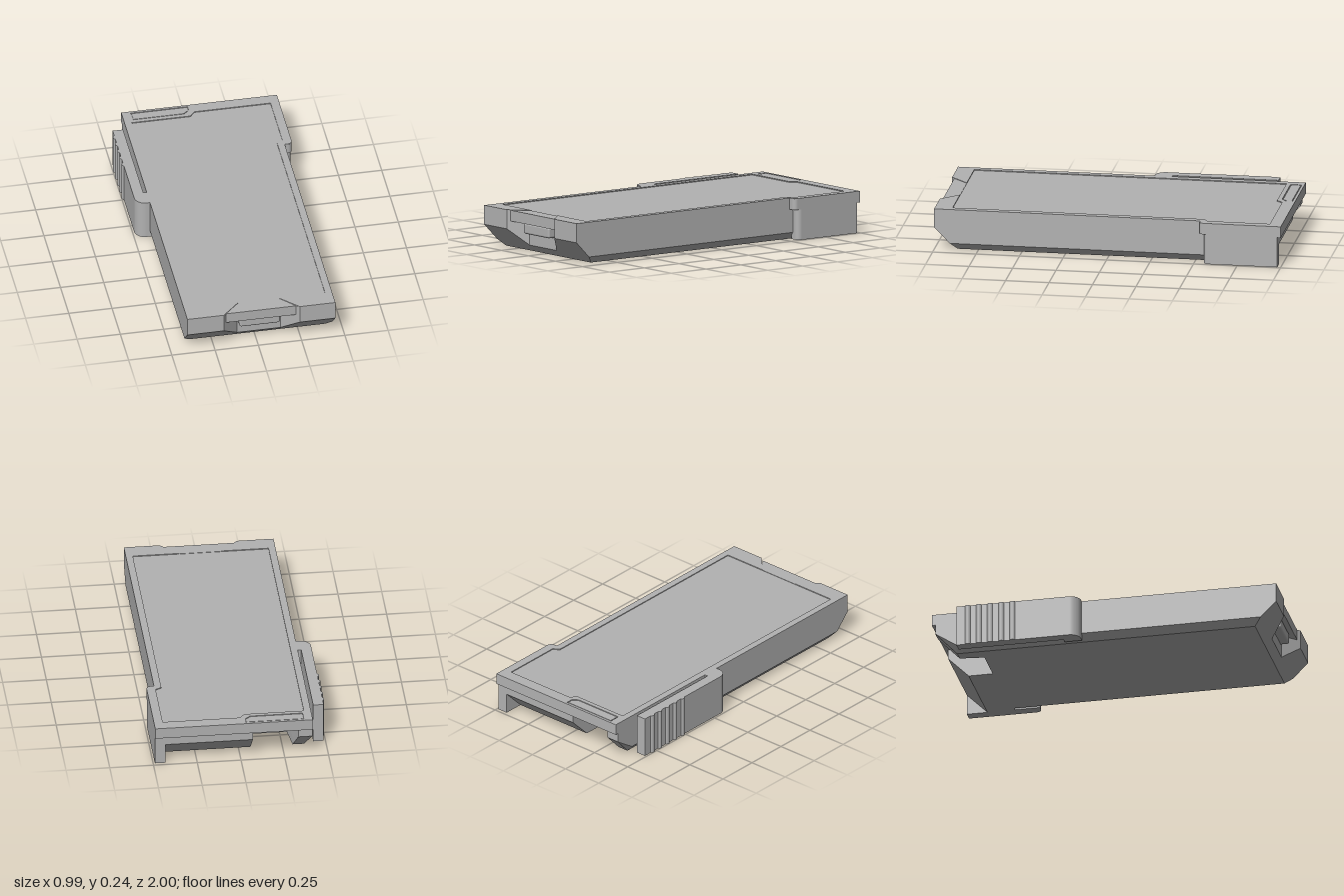
import * as THREE from 'three';
import { ConvexGeometry } from 'three/addons/geometries/ConvexGeometry.js';
import { RoundedBoxGeometry } from 'three/addons/geometries/RoundedBoxGeometry.js';

export function createModel() {
  const model = new THREE.Group();
  const grey = new THREE.MeshStandardMaterial({ color: 0xb2b2b2 });
  grey.name = 'plain grey';

  const L = -0.41, R = 0.445, TOP = 0.24, H = 0.235, LID = 0.175;
  const add = (name, geometry) => {
    const mesh = new THREE.Mesh(geometry, grey);
    mesh.name = name;
    model.add(mesh);
    return mesh;
  };
  // Flat-faced solid from its corner points
  const hull = (name, pts) =>
    add(name, new ConvexGeometry(pts.map(p => new THREE.Vector3(...p))));
  // Plan outline (x, z) raised from y0 to y1
  const plan = (name, shape, y0, y1) => {
    const g = new THREE.ExtrudeGeometry(shape, { depth: y1 - y0, bevelEnabled: false, curveSegments: 8 });
    g.rotateX(-Math.PI / 2).translate(0, y0, 0);
    return add(name, g);
  };
  const outline = pts => new THREE.Shape(pts.map(([x, z]) => new THREE.Vector2(x, -z)));
  const corners = (x0, x1, y, z) => [[x0, y, z], [x1, y, z]];

  // Main case with bevelled lower edges
  const section = z => [...corners(L, R, H, z), ...corners(L, R, 0.04, z), ...corners(L + 0.035, R - 0.035, 0, z)];
  hull('mainCase', [...section(-0.72), ...section(0.87), ...corners(L, R, 0.04, 0.91), ...corners(L, R, H, 0.91)]);

  // Front cheeks on both sides of the flared latch recess
  for (const [name, side, inner, outer] of [['rightCheek', L, -0.105, -0.2], ['leftCheek', R, 0.145, 0.24]]) {
    hull(name, [
      ...corners(side, inner, 0.04, 0.91), ...corners(side, inner, H, 0.91),
      ...corners(side, outer, 0.13, 1), ...corners(side, outer, H, 1),
    ]);
  }

  // Tab above the latch, and the latch itself
  plan('frontTab', outline([[-0.105, 0.9], [-0.185, 0.985], [0.22, 0.985], [0.145, 0.9]]), LID, 0.237);
  add('frontLatch', new RoundedBoxGeometry(0.235, 0.062, 0.08, 3, 0.012)).position.set(0.0175, 0.142, 0.92);

  // Rear block with a sloping underside
  const rearProfile = x => [[x, 0, -0.7], [x, 0, -0.86], [x, 0.12, -0.98], [x, LID, -0.98], [x, LID, -0.7]];
  hull('rearBlock', [...rearProfile(0.48), ...rearProfile(-0.07)]);

  // Rear corner beside the open recess, tapered at the back
  hull('rearCorner', [
    ...corners(L, -0.29, LID, -0.7), ...corners(L, -0.33, LID, -0.98),
    ...corners(L, -0.29, 0.04, -0.7), ...corners(L + 0.035, -0.29, 0, -0.7),
    ...corners(L + 0.035, -0.31, 0, -0.86), ...corners(L, -0.31, 0.04, -0.86),
    ...corners(L, -0.33, 0.12, -0.98),
  ]);

  // Side flange with a rounded front corner
  const flange = new THREE.Shape();
  flange.moveTo(0.43, 0.98);
  flange.lineTo(0.43, 0.555);
  flange.lineTo(0.46, 0.555);
  flange.absarc(0.46, 0.585, 0.03, -Math.PI / 2, 0, false);
  flange.lineTo(0.49, 0.98);
  plan('sideFlange', flange, 0, LID);

  // Rear lid overhanging the flange
  const lid = new THREE.Shape();
  lid.moveTo(L, 1);
  lid.lineTo(L, 0.53);
  lid.lineTo(0.465, 0.53);
  lid.absarc(0.465, 0.555, 0.025, -Math.PI / 2, 0, false);
  lid.lineTo(0.49, 1);
  plan('rearLid', lid, LID, H);

  // Raised rim around the sunken top panel, open at the front
  const rim = outline([
    [L, 1], [L, -1], [0.49, -1], [0.49, -0.555], [0.483, -0.537], [0.465, -0.53], [R, -0.53], [R, 1],
    [0.24, 1], [0.14, 0.9], [0.405, 0.9], [0.405, -0.55], [0.44, -0.57], [0.44, -0.93],
    [0.0, -0.93], [-0.03, -0.895], [-0.37, -0.895], [-0.37, 0.9], [-0.1, 0.9], [-0.2, 1],
  ]);
  rim.holes.push(outline([[-0.36, -0.985], [-0.36, -0.92], [-0.06, -0.92], [-0.03, -0.945], [-0.03, -0.985]]));
  plan('topRim', rim, H, TOP);
  plan('rearLabel', outline([[-0.354, -0.98], [-0.354, -0.925], [-0.063, -0.925], [-0.036, -0.948], [-0.036, -0.98]]), H, 0.239);

  // Springy side arm, curved where it joins the case
  const arm = new THREE.Shape();
  arm.moveTo(-0.4, 0.13);
  arm.lineTo(-0.43, 0.13);
  arm.absarc(-0.43, 0.19, 0.06, -Math.PI / 2, -Math.PI, true);
  arm.lineTo(-0.49, 0.84);
  arm.lineTo(-0.43, 0.84);
  arm.lineTo(-0.43, 0.23);
  arm.lineTo(-0.4, 0.23);
  plan('sideArm', arm, 0, TOP);

  // Finger ridges on the arm
  for (let i = 0; i < 5; i++) {
    add('armRidge', new THREE.CylinderGeometry(0.018, 0.018, TOP, 16))
      .position.set(-0.482, TOP / 2, -0.515 - i * 0.065);
  }
  return model;
}
